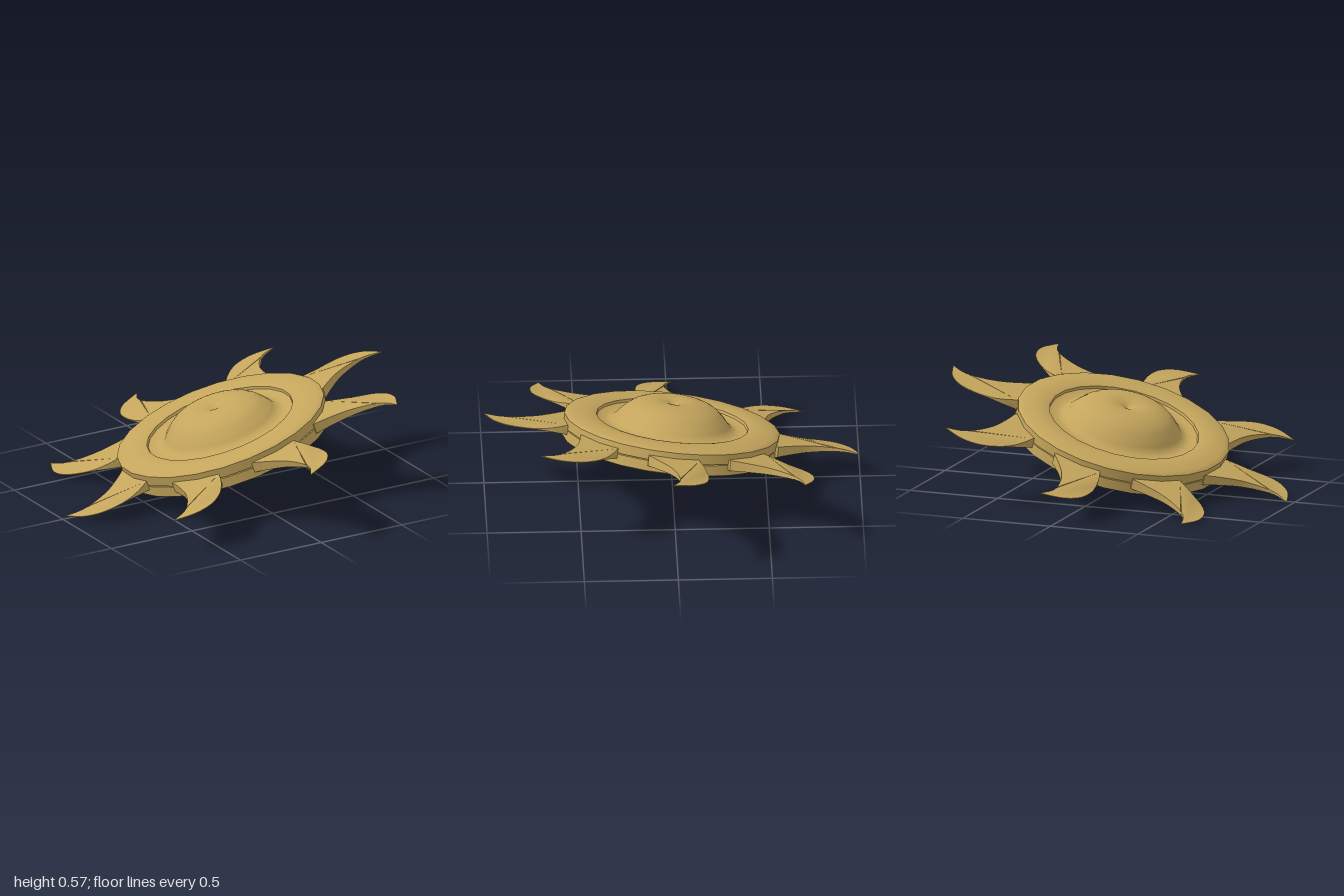
import * as THREE from 'three';
import { toCreasedNormals } from 'three/addons/utils/BufferGeometryUtils.js';

const gold = new THREE.MeshStandardMaterial({ color: 0xc4a55c });
gold.name = 'gold';

function named(geometry, name) {
  const mesh = new THREE.Mesh(geometry, gold);
  mesh.name = name;
  return mesh;
}

// Smooth surface of revolution through [radius, height] points
function turned(name, points, curved) {
  let pts = points.map(([r, h]) => new THREE.Vector2(r, h));
  if (curved) {
    pts = new THREE.SplineCurve(pts).getPoints(points.length * 4);
    pts.forEach((p) => { p.x = Math.max(p.x, 0); });
  }
  return named(new THREE.LatheGeometry(pts, 24), name);
}

// Half of the disc: rim wall, rounded ring with a lip, hollow and dimpled dome
function discHalf(name) {
  const half = new THREE.Group();
  half.name = name;
  half.add(
    turned('seam', [[0.56, 0], [0.575, 0.003]]),
    turned('rimWall', [[0.575, 0.003], [0.577, 0.058]]),
    turned('outerRing', [[0.577, 0.058], [0.55, 0.07], [0.49, 0.079], [0.44, 0.077], [0.407, 0.07]], true),
    turned('ringLip', [[0.407, 0.07], [0.403, 0.056]]),
    turned('dome', [
      [0.403, 0.056], [0.375, 0.05], [0.343, 0.05], [0.312, 0.066], [0.283, 0.1],
      [0.233, 0.146], [0.17, 0.174], [0.105, 0.183], [0.05, 0.175], [0.02, 0.162], [0, 0.15],
    ], true),
  );
  return half;
}

// Curved flame-like ray: thick at the root and inner curve, sharp along the outer curve and tip
function rayGeometry() {
  const shape = new THREE.Shape();
  const v = (x, y) => new THREE.Vector2(x, y);
  shape.moveTo(0.5, -0.09);
  shape.lineTo(0.56, -0.115);
  shape.splineThru([v(0.65, -0.145), v(0.77, -0.16), v(0.88, -0.14), v(0.96, -0.07), v(1.005, 0.047)]);
  shape.splineThru([v(0.92, 0.003), v(0.82, 0.008), v(0.72, 0.042), v(0.63, 0.1), v(0.56, 0.155)]);
  shape.lineTo(0.5, 0.15);
  shape.closePath();
  const geo = new THREE.ExtrudeGeometry(shape, { depth: 1, bevelEnabled: false, curveSegments: 16 });
  geo.translate(0, 0, -0.5);
  geo.rotateX(Math.PI / 2);
  const pos = geo.attributes.position;
  for (let i = 0; i < pos.count; i++) {
    const x = pos.getX(i);
    let taper = Math.max((1 - x) / 0.5, 0);
    if (pos.getZ(i) < 0) taper *= THREE.MathUtils.clamp((0.72 - x) / 0.16, 0, 1);
    pos.setY(i, pos.getY(i) * (0.004 + 0.06 * taper));
  }
  geo.computeVertexNormals();
  return toCreasedNormals(geo, 0.6);
}

export function createModel() {
  const model = new THREE.Group();
  model.name = 'sunDisc';

  const upper = discHalf('upperDisc');
  const lower = discHalf('lowerDisc');
  lower.rotation.x = Math.PI;
  const disc = new THREE.Group();
  disc.name = 'disc';
  disc.position.set(-0.006, 0, 0.006);
  disc.add(upper, lower);
  model.add(disc);

  // Eight rays around the rim
  const ray = rayGeometry();
  for (let i = 0; i < 8; i++) {
    const mesh = named(ray, 'ray' + (i + 1));
    mesh.rotation.y = (i * Math.PI) / 4;
    model.add(mesh);
  }

  // Tilt the whole disc
  const normal = new THREE.Vector3(-0.29, 1, -0.13).normalize();
  model.quaternion.setFromUnitVectors(new THREE.Vector3(0, 1, 0), normal);
  model.position.y = 0.286;

  const root = new THREE.Group();
  root.name = 'sunOrnament';
  root.add(model);
  return root;
}
